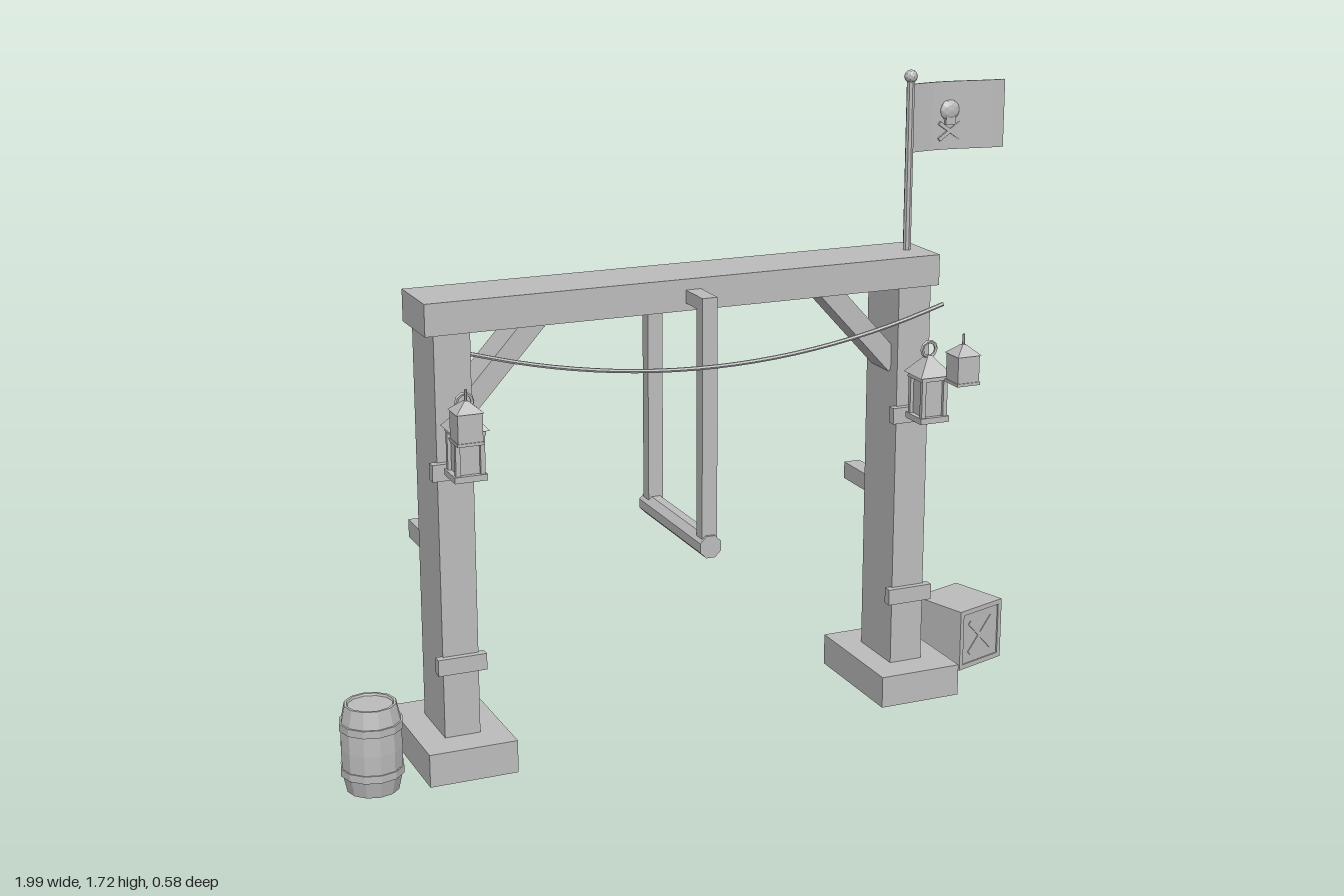
import * as THREE from 'three';

const grey = new THREE.MeshStandardMaterial({ color: 0xbcbcbc, flatShading: true });
grey.name = 'plain grey';
const MID = -0.024; // centre line of the gate
const POST = 0.645; // post distance from the centre line
const Z = -0.034; // depth centre of posts and beam

function add(parent, name, geo, x = 0, y = 0, z = 0) {
  const m = new THREE.Mesh(geo, grey);
  m.name = name;
  m.position.set(x, y, z);
  parent.add(m);
  return m;
}
const box = (parent, name, w, h, d, x, y, z) =>
  add(parent, name, new THREE.BoxGeometry(w, h, d), x, y, z);

function group(parent, name, x = 0, y = 0, z = 0) {
  const g = new THREE.Group();
  g.name = name;
  g.position.set(x, y, z);
  parent.add(g);
  return g;
}

// Four-sided roof with its edges parallel to x and z
function roof(width, height, topWidth) {
  const k = Math.SQRT1_2;
  return new THREE.CylinderGeometry(topWidth * k, width * k, height, 4).rotateY(Math.PI / 4);
}

function largeLantern(parent, x) {
  const g = group(parent, 'largeLantern', x, 0.807, 0.138);
  box(g, 'lanternBase', 0.085, 0.016, 0.085, 0, 0.008, 0);
  box(g, 'lanternGlass', 0.058, 0.11, 0.058, 0, 0.068, 0);
  for (const sx of [-1, 1]) for (const sz of [-1, 1])
    box(g, 'lanternUpright', 0.012, 0.112, 0.012, sx * 0.032, 0.07, sz * 0.032);
  box(g, 'lanternTopFrame', 0.08, 0.014, 0.08, 0, 0.121, 0);
  add(g, 'lanternRoof', roof(0.096, 0.05, 0.012), 0, 0.152, 0);
  add(g, 'lanternRing', new THREE.TorusGeometry(0.021, 0.005, 5, 10), 0, 0.193, 0);
}

function smallLantern(parent, x) {
  const g = group(parent, 'smallLantern', x, 0.933, 0.257);
  box(g, 'lanternBase', 0.068, 0.008, 0.068, 0, 0.004, 0);
  box(g, 'lanternBody', 0.063, 0.076, 0.063, 0, 0.042, 0);
  add(g, 'lanternRoof', roof(0.07, 0.026, 0.01), 0, 0.092, 0);
  add(g, 'lanternPin', new THREE.CylinderGeometry(0.0035, 0.0035, 0.035, 6), 0, 0.115, 0);
}

export function createModel() {
  const model = new THREE.Group();
  model.name = 'swingGate';

  // Beam, posts and everything mirrored on them
  box(model, 'crossBeam', 1.43, 0.083, 0.184, MID, 1.192, Z);
  for (const s of [-1, 1]) {
    const x = MID + s * POST;
    const side = group(model, s < 0 ? 'rightPostGroup' : 'leftPostGroup');
    box(side, 'footing', 0.236, 0.088, 0.355, x, 0.044, -0.035);
    box(side, 'post', 0.095, 1.08, 0.174, x, 0.62, Z);
    for (const y of [0.804, 0.287])
      box(side, 'postCleat', 0.13, 0.044, 0.025, x, y, 0.0575);
    box(side, 'rearPeg', 0.048, 0.048, 0.18, x, 0.547, -0.2);
    const brace = box(side, 'brace', 0.3, 0.055, 0.1, MID + s * 0.51, 1.045, Z);
    brace.rotation.z = -s * 0.83;
    largeLantern(side, x);
    smallLantern(side, MID + s * 0.68);
  }

  // Swing hanging over the beam
  const swing = group(model, 'swing', MID);
  for (const z of [0.144, -0.214]) box(swing, 'swingHanger', 0.042, 0.655, 0.037, 0, 0.877, z);
  box(swing, 'swingTopBar', 0.042, 0.034, 0.394, 0, 1.188, -0.035);
  add(swing, 'swingSeat', new THREE.CylinderGeometry(0.032, 0.032, 0.412, 8)
    .rotateY(Math.PI / 8).rotateX(Math.PI / 2), 0, 0.547, -0.036);

  // Sagging line in front of the gate
  const line = [];
  for (let i = -6; i <= 6; i++)
    line.push(new THREE.Vector3(MID + i * 0.108, 1.036 + 0.1 * (i / 6) ** 2, 0.2));
  add(model, 'saggingLine',
    new THREE.TubeGeometry(new THREE.CatmullRomCurve3(line), 24, 0.0055, 6));

  // Flag pole, waving flag and raised skull emblem
  const flag = group(model, 'flag', 0.642, 0, -0.036);
  add(flag, 'flagPole', new THREE.CylinderGeometry(0.011, 0.011, 0.47, 8), 0, 1.455, 0);
  add(flag, 'poleKnob', new THREE.IcosahedronGeometry(0.018, 1), 0, 1.698, 0);
  const cloth = new THREE.BoxGeometry(0.274, 0.182, 0.006, 8, 1, 1).translate(0.141, 1.586, 0);
  const wave = (x) => -0.012 * Math.sin((x / 0.278) * Math.PI * 1.5);
  const p = cloth.attributes.position;
  for (let i = 0; i < p.count; i++) p.setZ(i, p.getZ(i) + wave(p.getX(i)));
  add(flag, 'flagCloth', cloth);
  const ex = 0.125, ez = wave(0.125);
  add(flag, 'skull', new THREE.IcosahedronGeometry(0.03, 1).scale(1, 1, 0.5), ex, 1.6, ez);
  box(flag, 'skullJaw', 0.03, 0.02, 0.02, ex, 1.572, ez);
  for (const s of [-1, 1]) {
    const bone = box(flag, 'crossedBone', 0.08, 0.01, 0.016, ex, 1.545, ez);
    bone.rotation.z = s * 0.6;
  }

  // Turned crate with thin framing on its front and back
  const crate = group(model, 'crate', 0.885, 0.088, -0.118);
  crate.rotation.y = 0.314;
  box(crate, 'crateBody', 0.172, 0.176, 0.168, 0, 0, 0);
  for (const s of [-1, 1]) {
    const z = s * 0.085;
    for (const t of [-1, 1]) {
      box(crate, 'crateUpright', 0.014, 0.176, 0.006, t * 0.079, 0, z);
      box(crate, 'crateRail', 0.172, 0.014, 0.006, 0, t * 0.081, z);
      const strip = box(crate, 'crateCrossStrip', 0.13, 0.012, 0.003, 0, 0, z);
      strip.rotation.z = t * 0.785;
    }
  }

  // Barrel with two hoops
  const barrel = group(model, 'barrel', -0.919, 0, 0.082);
  const profile = [[0, 0], [0.067, 0], [0.078, 0.05], [0.08, 0.116], [0.078, 0.182],
    [0.067, 0.232], [0.06, 0.232], [0.058, 0.226], [0, 0.226]];
  add(barrel, 'barrelBody',
    new THREE.LatheGeometry(profile.map(([r, y]) => new THREE.Vector2(r, y)), 12));
  for (const y of [0.055, 0.177])
    add(barrel, 'barrelHoop', new THREE.CylinderGeometry(0.082, 0.082, 0.02, 12), 0, y, 0);

  return model;
}
